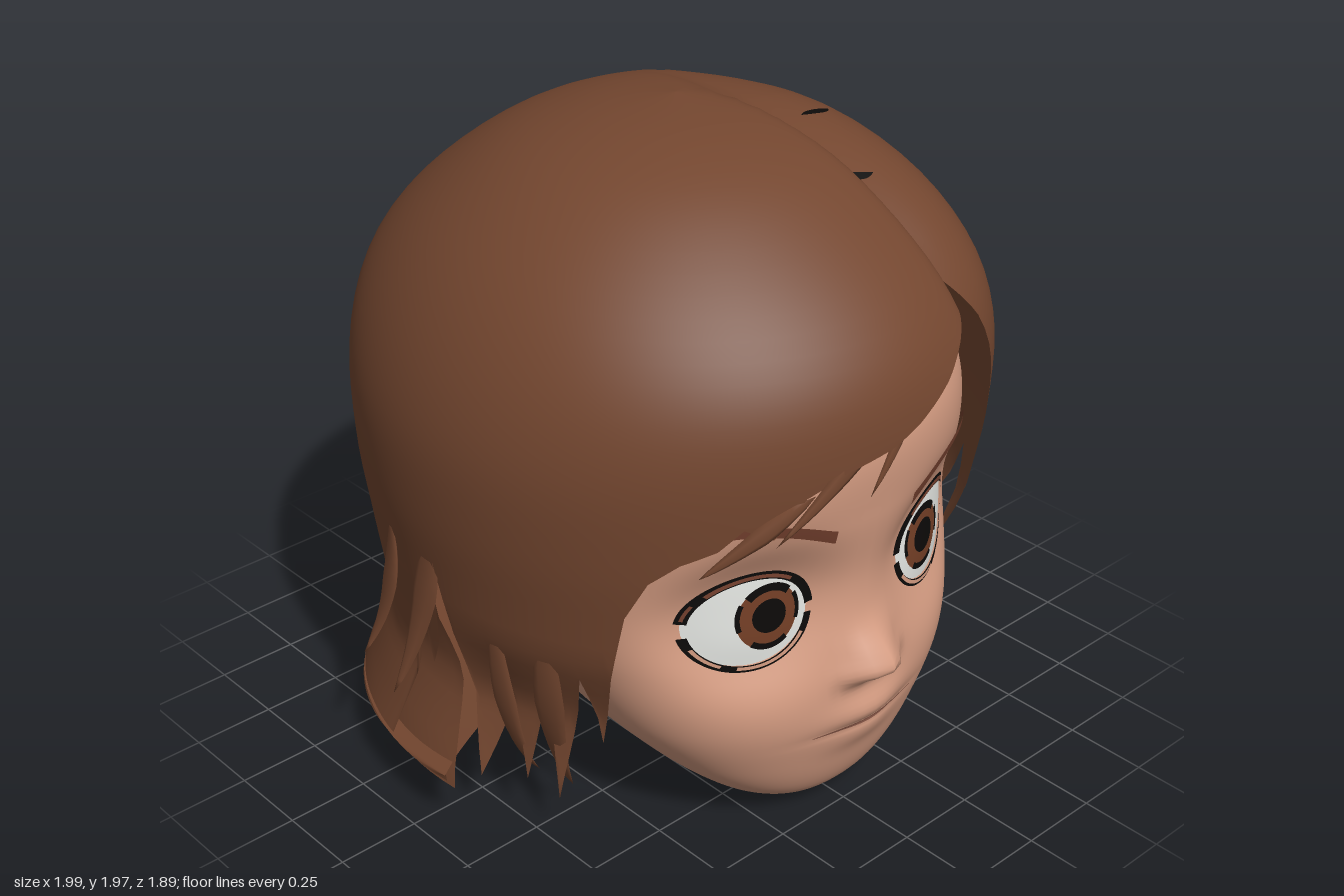
import * as THREE from 'three';
import { mergeVertices } from 'three/addons/utils/BufferGeometryUtils.js';

const mat = (name, color) => new THREE.MeshStandardMaterial({ name, color, side: THREE.DoubleSide });
const clamp = THREE.MathUtils.clamp, lerp = THREE.MathUtils.lerp, rad = THREE.MathUtils.degToRad;

// Smooth lookup of column k in a table sorted by its first column
function smooth(tab, t, k) {
  t = clamp(t, tab[0][0], tab[tab.length - 1][0]);
  let i = 0;
  while (i < tab.length - 2 && t > tab[i + 1][0]) i++;
  const slope = j => {
    const a = tab[Math.max(j - 1, 0)], b = tab[Math.min(j + 1, tab.length - 1)];
    return (b[k] - a[k]) / (b[0] - a[0]);
  };
  const h = tab[i + 1][0] - tab[i][0], s = (t - tab[i][0]) / h, s2 = s * s, s3 = s2 * s;
  return (2 * s3 - 3 * s2 + 1) * tab[i][k] + (s3 - 2 * s2 + s) * h * slope(i)
    + (3 * s2 - 2 * s3) * tab[i + 1][k] + (s3 - s2) * h * slope(i + 1);
}
// Straight-line lookup
function linear(tab, t) {
  let i = 0;
  while (i < tab.length - 2 && t > tab[i + 1][0]) i++;
  const [a, b] = [tab[i], tab[i + 1]];
  return lerp(a[1], b[1], clamp((t - a[0]) / (b[0] - a[0]), 0, 1));
}

// Smooth surface from a rule (u, v) -> [x, y, z]; drop() leaves out faces
function surface(nu, nv, rule, drop = () => false) {
  const pos = [], idx = [];
  for (let j = 0; j <= nv; j++) for (let i = 0; i <= nu; i++) pos.push(...rule(i / nu, j / nv));
  const v = i => new THREE.Vector3().fromArray(pos, i * 3);
  const tri = (a, b, c) => {
    const A = v(a), B = v(b), C = v(c);
    const area = B.clone().sub(A).cross(C.clone().sub(A)).length();
    if (area > 1e-8 && !drop(A.add(B).add(C).divideScalar(3))) idx.push(a, b, c);
  };
  for (let j = 0; j < nv; j++) for (let i = 0; i < nu; i++) {
    const a = j * (nu + 1) + i, b = a + 1, c = a + nu + 1, d = c + 1;
    tri(a, b, d); tri(a, d, c);
  }
  let g = new THREE.BufferGeometry();
  g.setAttribute('position', new THREE.Float32BufferAttribute(pos, 3));
  g.setIndex(idx);
  g = mergeVertices(g, 1e-4);
  g.computeVertexNormals();
  return g;
}

// Head sections: height, half width, front z, back z
const HEAD = [[0, .004, .505, .495], [.004, .08, .58, .42], [.02, .15, .65, .34], [.05, .225, .71, .26], [.12, .335, .76, .12],
  [.24, .465, .8, -.1], [.4, .59, .83, -.35], [.6, .67, .82, -.5], [.8, .7, .805, -.6], [1, .695, .825, -.66],
  [1.2, .68, .83, -.68], [1.35, .64, .77, -.65], [1.5, .55, .66, -.55], [1.62, .42, .5, -.4], [1.72, .2, .28, -.2], [1.75, .01, .08, 0]];
const section = y => {
  const [w, f, b] = [1, 2, 3].map(k => smooth(HEAD, y, k));
  return { w, f, b, c: b + (f - b) * .62 };
};
const POW = 2.2;
const bump = (x, y, cx, cy, sx, sy) => Math.exp(-(((x - cx) / sx) ** 2) - ((y - cy) / sy) ** 2);
// Nose, lips and eye sockets as offsets of the face
function features(x, y) {
  const ax = Math.abs(x), q = ((ax - .35) / .24) ** 2 + ((y - .76) / .21) ** 2;
  return .095 * bump(x, y, 0, .54, .07, y > .54 ? .085 : .045)
    + .03 * bump(ax, y, .07, .515, .04, .035)
    + .03 * bump(x, y, 0, .38, .13, .05) + .018 * bump(x, y, 0, .29, .12, .05)
    - .012 * bump(x, y, 0, .335, .17, .014)
    - .085 * Math.exp(-(q ** 1.5));
}
function baseZ(x, y) {
  const s = section(y);
  return s.c + (s.f - s.c) * Math.max(0, 1 - Math.abs(x / s.w) ** POW) ** (1 / POW);
}
const faceZ = (x, y) => baseZ(x, y) + features(x, y);

// Hair profile: radius, height
const HAIR = [[.001, 1.97], [.26, 1.935], [.5, 1.845], [.71, 1.68], [.85, 1.48], [.925, 1.25], [.93, 1], [.9, .75], [.865, .47], [.88, .3], [.91, .13]];
const hairRows = new THREE.SplineCurve(HAIR.map(p => new THREE.Vector2(...p))).getPoints(44).map(p => [p.y, p.x]);
const hairUp = hairRows.slice().reverse();
// Radius at an angle from the front; the right side flares at the bottom
const hairR = (deg, y) => linear(hairUp, y) + .07 * Math.max(0, -Math.sin(rad(deg))) * clamp((.42 - y) / .25, 0, 1);
// Hem height by angle from the front, in degrees, toward the left
const HEM = [[-180, .13], [-140, .13], [-101, .18], [-98, .75], [-95, .45], [-92, .55], [-89, .85], [-86, .5], [-82, .16], [-77, .42],
  [-73, .18], [-69, .5], [-66, .14], [-60, .6], [-57, .35], [-54, .62], [-51, .85], [-47, .97], [-42, 1.03], [-36, 1.07],
  [-32, 1.13], [-27, 1.09], [-22, 1.2], [-15, 1.25], [-6, 1.28], [0, 1.32], [8, 1.39], [15, 1.47], [23, 1.57], [31, 1.65],
  [36, 1.55], [40, 1.38], [43, 1.2], [47, .97], [51, .7], [54, .42], [59, .77], [63, .6], [70, .11], [73, .42],
  [77, .13], [80, .5], [84, .11], [87, .5], [90, .93], [93, .55], [95, .47], [98, .78], [101, .13], [180, .13]];
function hairPoint(deg, y, lift = 0) {
  const side = 1 - clamp((Math.abs(deg) - 78) / 14, 0, 1);
  const r = hairR(deg, y) - .3 * side * Math.max(0, .65 - y);
  const long = 1 + .06 * Math.exp(-(((y - 1.5) / .25) ** 2));
  const p = new THREE.Vector3(.02 + r * Math.sin(rad(deg)), y, r * long * Math.cos(rad(deg)));
  // Parting
  const k = clamp((p.z + .35) / .95, 0, 1), gx = p.x - .24 - .2 * Math.max(p.z, 0);
  const depth = .15 * k * Math.exp(-((gx / (gx < 0 ? .07 : .22)) ** 2));
  const n = new THREE.Vector3(p.x, Math.max(0, y - 1), p.z).normalize();
  return p.addScaledVector(n, lift - depth).toArray();
}
// Lock of hair along a bent path, swelling from its root and tapering to a point
function strand(a, b, c, w) {
  const path = new THREE.QuadraticBezierCurve3(...[a, b, c].map(p => new THREE.Vector3(...p)));
  return surface(6, 12, (u, t) => {
    const p = path.getPoint(t), out = new THREE.Vector3(p.x, 0, p.z).normalize();
    const side = path.getTangent(t).cross(out).normalize(), q = u * Math.PI * 2;
    const k = w * Math.min(1, t / .4) ** .8 * (1 - t) ** .8;
    return p.addScaledVector(side, Math.cos(q) * k).addScaledVector(out, Math.sin(q) * k * .3).toArray();
  });
}

export function createModel() {
  const model = new THREE.Group();
  const skin = mat('skin', 0xd29a80), hair = mat('hair brown', 0x73462f), white = mat('eye white', 0xe6e8e4);
  const black = mat('black', 0x0c0a09), iris = mat('iris brown', 0x743f26), brow = mat('brow brown', 0x74402e), lip = mat('lip line', 0x8a5848);
  const add = (name, geo, m) => {
    const mesh = new THREE.Mesh(geo, m);
    mesh.name = name;
    model.add(mesh);
    return mesh;
  };

  // Head, open at the neck
  add('head', surface(112, 120, (u, v) => {
    const y = v < .1 ? .12 * (v / .1) ** 2 : lerp(.12, 1.75, (v - .1) / .9);
    const s = section(y), a = u * Math.PI * 2, sn = Math.sin(a), cs = Math.cos(a);
    const x = s.w * Math.sign(sn) * Math.abs(sn) ** (2 / POW), e = Math.abs(cs) ** (2 / POW);
    return [x, y, cs >= 0 ? s.c + (s.f - s.c) * e + features(x, y) : s.c - (s.c - s.b) * e];
  }, p => p.z < .2 && (p.x / .3) ** 2 + ((p.y - .23) / .13) ** 2 < 1), skin);

  // Flat band laid on the face along a path, tapering to its ends
  const band = (points, width, lift) => {
    const path = new THREE.SplineCurve(points.map(p => new THREE.Vector2(...p)));
    return surface(24, 2, (u, v) => {
      const p = path.getPoint(u), y = p.y + (v - .5) * width(u);
      return [p.x, y, faceZ(p.x, y) + lift];
    });
  };
  add('mouthLine', band([[-.2, .338], [-.1, .336], [0, .333], [.1, .336], [.2, .338]], u => .01 * Math.sin(Math.PI * u) + .002, .004), lip);

  for (const s of [1, -1]) {
    const side = s > 0 ? 'left' : 'right';
    // Eye layers: rings and discs that follow the bulge of the eye
    const layer = (name, m, cx, cy, rx, ry, inner, from, to, lift) => add(side + name, surface(40, 6, (u, v) => {
      const a = rad(lerp(from, to, u)), r = lerp(inner, 1, v);
      const x = cx + rx * r * Math.cos(a), y = cy + ry * r * Math.sin(a);
      const d = ((x - .35) / .17) ** 2 + ((y - .76) / .14) ** 2;
      return [s * x, y, baseZ(x, y) - .053 + .014 * Math.max(0, 1 - d) + lift];
    }), m);
    layer('EyeWhite', white, .35, .755, .17, .14, 0, 0, 360, 0);
    layer('UpperLash', black, .35, .75, .188, .158, .85, 8, 176, .006);
    layer('LidStreak', brow, .35, .75, .176, .15, .93, 45, 130, .009);
    layer('LidStreakOuter', brow, .35, .75, .18, .15, .95, 12, 32, .009);
    layer('LowerLash', black, .35, .75, .184, .155, .87, 188, 350, .005);
    layer('LidRim', skin, .35, .75, .174, .147, .93, 210, 285, .008);
    layer('LidRimOuter', skin, .35, .75, .174, .147, .94, 300, 335, .008);
    layer('Iris', iris, .308, .76, .09, .1, 0, 0, 360, .004);
    layer('IrisTop', black, .308, .765, .095, .1, .76, 45, 135, .007);
    layer('IrisBottom', black, .308, .765, .095, .105, .82, 235, 305, .007);
    layer('IrisInnerEdge', black, .308, .765, .095, .105, .86, 150, 200, .007);
    layer('IrisOuterEdge', black, .308, .765, .095, .105, .86, -20, 30, .007);
    layer('Pupil', black, .308, .765, .05, .052, 0, 0, 360, .008);
    // Brow
    add(side + 'Brow', band([[.15, .985], [.29, 1.045], [.42, 1.072], [.52, 1.055], [.565, 1.015]].map(p => [s * p[0], p[1]]),
      u => lerp(.042, .014, u), .012), brow);
    // Ear
    const ear = add(side + 'Ear', new THREE.SphereGeometry(1, 20, 14), skin);
    ear.scale.set(.05, .13, .08);
    ear.position.set(s * .665, .59, .01);
  }

  // Outer hair shell with jagged hem
  add('hairShell', surface(360, 44, (u, v) => {
    const deg = u * 360 - 180;
    return hairPoint(deg, Math.max(hairRows[Math.round(v * 44)][0], linear(HEM, deg)));
  }), hair);
  // Dark gaps along the parting
  [[70, 77, 1.89], [41, 49, 1.835], [32.5, 36, 1.74]].forEach(([from, to, y], i) => add('partingGap' + (i + 1),
    surface(8, 2, (u, v) => hairPoint(lerp(from, to, u), y - .05 * u + (v - .5) * .025 * Math.sin(Math.PI * u), .005)), black));
  // Back hair under the side locks
  add('backHair', surface(60, 16, (u, v) => {
    const y = lerp(1.05, .14, v), start = 84 + 6 * clamp((y - .13) / .37, 0, 1) + 5 * clamp((y - .5) / .1, 0, 1);
    const deg = lerp(start, 360 - start, u), r = hairR(deg, y) - .035;
    return [.02 + r * Math.sin(rad(deg)), y, r * Math.cos(rad(deg))];
  }), hair);
  // Underside of the back hair, hollowed round the neck
  add('hairUnderside', surface(60, 8, (u, v) => {
    const deg = lerp(84, 276, u), r = hairR(deg, .14) - .005, x = r * Math.sin(rad(deg)), z = r * Math.cos(rad(deg));
    const rise = .05 * clamp((-x - .5) / .4, 0, 1);
    return [.02 + x, .135 + rise + .02 * v, lerp(z, .1 - .35 * (1 - (x / r) ** 2), v)];
  }), hair);

  // Loose locks
  [[[.3, 1.54, .74], [.03, 1.36, .93], [-.115, 1.13, .9], .06],
    [[.1, 1.44, .86], [-.2, 1.29, .95], [-.42, 1.085, .86], .06],
    [[-.3, 1.2, .88], [-.5, 1.1, .83], [-.59, 1.01, .75], .045],
    [[-.88, 1, 0], [-.87, .65, -.03], [-.99, .42, -.07], .08],
    [[-.87, .9, -.2], [-.85, .6, -.22], [-.96, .45, -.25], .07],
    [[.91, .95, .08], [.87, .6, .1], [1, .41, .11], .08],
    [[.82, .85, .36], [.78, .35, .36], [.45, .08, .28], .07],
    [[.87, .8, .2], [.8, .3, .22], [.52, .1, .18], .06],
    [[-.79, .85, .36], [-.78, .35, .34], [-.61, .08, .25], .07],
    [[-.84, .8, .2], [-.82, .3, .2], [-.69, .15, .2], .06],
  ].forEach((s, i) => add('lock' + (i + 1), strand(...s), hair));

  return model;
}
